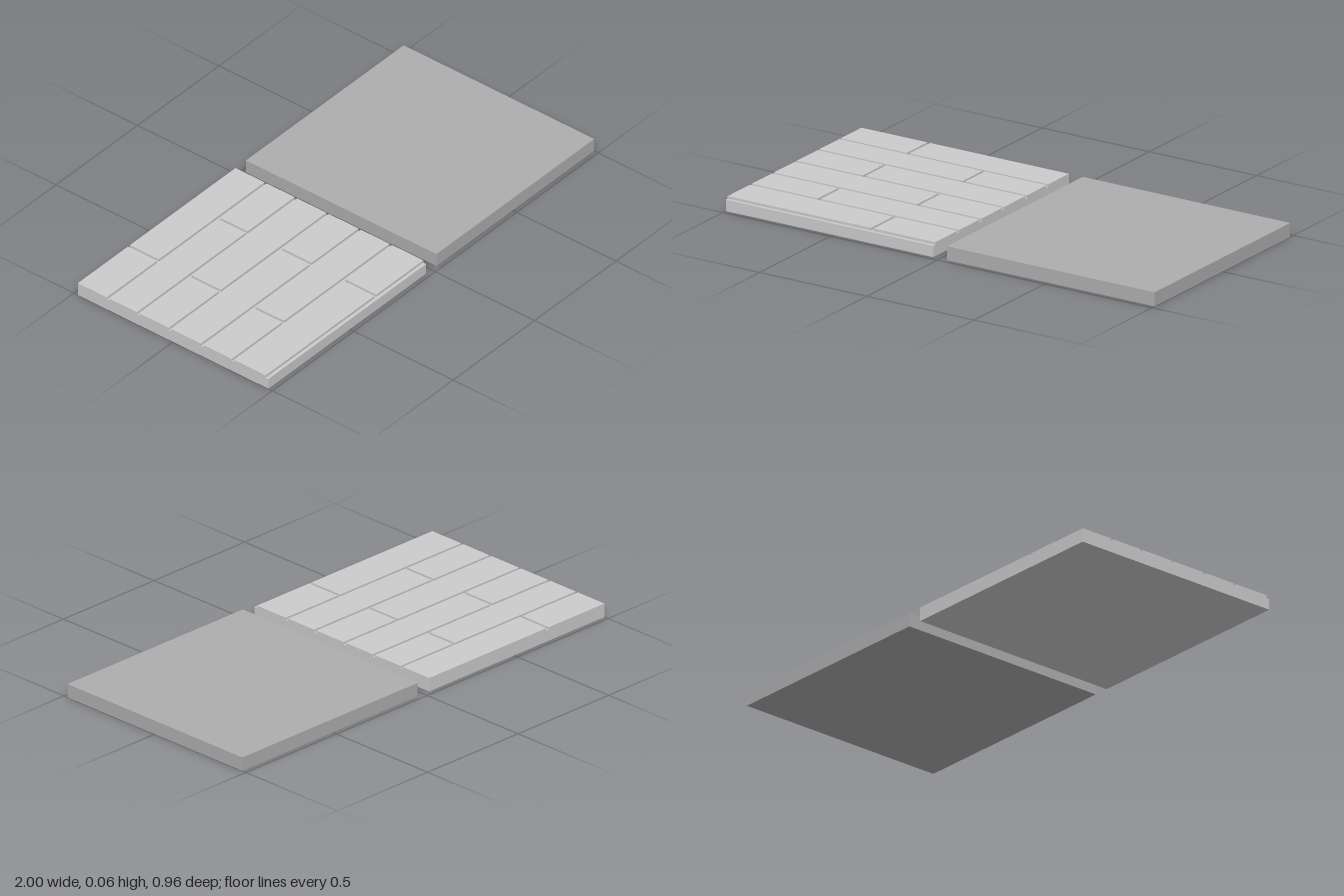
import * as THREE from 'three';

const light = new THREE.MeshStandardMaterial({ color: 0xcccccc });
const dark = new THREE.MeshStandardMaterial({ color: 0xaeaeae });

// Box given by its limits on each axis
function slab(name, material, [x0, x1], [y0, y1], [z0, z1]) {
  const mesh = new THREE.Mesh(new THREE.BoxGeometry(x1 - x0, y1 - y0, z1 - z0), material);
  mesh.name = name;
  mesh.position.set((x0 + x1) / 2, (y0 + y1) / 2, (z0 + z1) / 2);
  return mesh;
}

export function createModel() {
  const model = new THREE.Group();
  model.name = 'floorTiles';
  const half = 0.48, inner = 0.032, grooveFloor = 0.047, top = 0.058, gap = 0.012;

  // Plain tile
  model.add(slab('plainTile', dark, [inner, 1], [0, top], [-half, half]));

  // Brick tile: base slab that forms the groove floor
  const brickTile = new THREE.Group();
  brickTile.name = 'brickTile';
  brickTile.add(slab('brickTileBase', light, [-1, -inner], [0, grooveFloor], [-half, half]));

  // Rows of bricks, each split by one seam; the last groove runs along the front edge
  const grooves = [-0.334, -0.182, -0.022, 0.14, 0.296, 0.466];
  let back = -half;
  grooves.forEach((front, row) => {
    const seam = row % 2 === 0 ? -0.692 : -0.332;
    for (const span of [[-1, seam], [seam + gap, -inner]]) {
      brickTile.add(slab('brick', light, span, [grooveFloor, top], [back, front]));
    }
    back = front + gap;
  });
  model.add(brickTile);
  return model;
}
